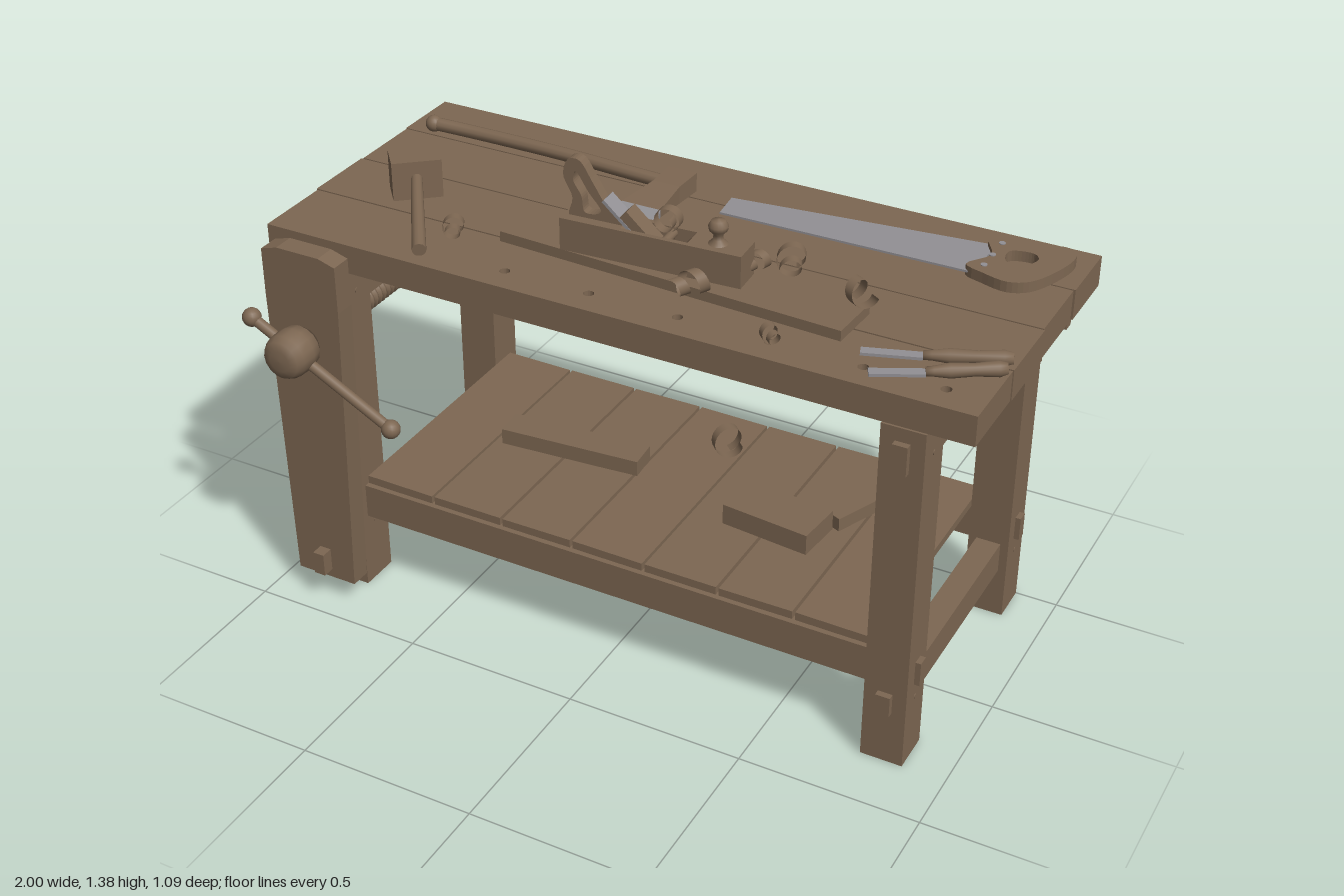
import * as THREE from 'three';

const wood = new THREE.MeshStandardMaterial({ color: 0x7d6752, side: THREE.DoubleSide });
wood.name = 'wood';
const steel = new THREE.MeshStandardMaterial({ color: 0x929094, side: THREE.DoubleSide });
steel.name = 'steel';

const V = (x, y, z) => new THREE.Vector3(x, y, z);

function add(parent, name, geo, mat = wood) {
  const m = new THREE.Mesh(geo, mat);
  m.name = name;
  parent.add(m);
  return m;
}
// Box given by its limits on each axis
function box(parent, name, x0, x1, y0, y1, z0, z1, mat = wood) {
  const m = add(parent, name, new THREE.BoxGeometry(x1 - x0, y1 - y0, z1 - z0), mat);
  m.position.set((x0 + x1) / 2, (y0 + y1) / 2, (z0 + z1) / 2);
  return m;
}
// Round bar between two points
function rod(parent, name, a, b, ra, rb = ra, mat = wood, sides = 12) {
  const m = add(parent, name, new THREE.CylinderGeometry(rb, ra, a.distanceTo(b), sides), mat);
  m.position.copy(a).add(b).multiplyScalar(0.5);
  m.quaternion.setFromUnitVectors(V(0, 1, 0), b.clone().sub(a).normalize());
  return m;
}
function ball(parent, name, p, r) {
  const m = add(parent, name, new THREE.SphereGeometry(r, 16, 12));
  m.position.copy(p);
  return m;
}
// Lathe profile [radius, distance] turned along the direction from a to b
function turned(parent, name, profile, a, dir) {
  const m = add(parent, name, new THREE.LatheGeometry(profile.map(p => new THREE.Vector2(...p)), 16));
  m.position.copy(a);
  m.quaternion.setFromUnitVectors(V(0, 1, 0), dir.clone().normalize());
  return m;
}
const poly = pts => new THREE.Shape(pts.map(p => new THREE.Vector2(...p)));
const smooth = pts => new THREE.Shape(
  new THREE.CatmullRomCurve3(pts.map(p => V(p[0], p[1], 0)), true).getPoints(40).map(p => new THREE.Vector2(p.x, p.y)));
const extrude = (shape, depth) => new THREE.ExtrudeGeometry(shape, { depth, bevelEnabled: false, curveSegments: 10 });
// Slab drawn in x and z, with its top at the given height
function slab(parent, name, shape, depth, top, mat = wood) {
  const m = add(parent, name, extrude(shape, depth).rotateX(Math.PI / 2), mat);
  m.position.y = top;
  return m;
}
// Curled ribbon of wood
function shaving(parent, x, y, z, r, turns, width, drift, yaw) {
  const pos = [], idx = [], n = 36;
  for (let i = 0; i <= n; i++) {
    const t = i / n, a = t * turns * Math.PI * 2 - 1.2, q = r * (1 - 0.35 * t);
    for (const s of [-0.5, 0.5]) pos.push(Math.cos(a) * q, Math.sin(a) * q + r, s * width + drift * (t - 0.5));
    if (i < n) idx.push(2 * i, 2 * i + 1, 2 * i + 2, 2 * i + 1, 2 * i + 3, 2 * i + 2);
  }
  const g = new THREE.BufferGeometry();
  g.setAttribute('position', new THREE.Float32BufferAttribute(pos, 3));
  g.setIndex(idx);
  g.computeVertexNormals();
  const m = add(parent, 'shaving', g);
  m.position.set(x, y, z);
  m.rotation.y = yaw;
}

function buildFrame(g) {
  // Top planks, the front one drilled for bench dogs
  const front = poly([[-0.995, 0.102], [0.998, 0.102], [0.998, 0.327], [-0.995, 0.327]]);
  for (const x of [-0.31, -0.065, 0.185, 0.435, 0.68, 0.89])
    front.holes.push(new THREE.Path().absarc(x, 0.25, 0.014, 0, Math.PI * 2, true));
  slab(g, 'frontTopPlank', front, 0.083, 1.095);
  [[-0.113, 0.098, 1], [-0.332, -0.118, 0.996], [-0.54, -0.337, 1]].forEach(([a, b, h]) =>
    box(g, 'topPlank', -h, h, 1.01, 1.096, a, b));
  box(g, 'backApron', -0.94, 0.94, 0.88, 1.01, -0.533, -0.5);

  for (const s of [-1, 1]) {
    const x = s * 0.822;
    for (const [a, b] of [[0.213, 0.33], [-0.5, -0.384]]) {
      box(g, 'leg', x - 0.058, x + 0.058, 0, 1.01, a, b);
      // Pegs locking the joints
      for (const y of [0.19, 0.27, 0.93])
        rod(g, 'jointPeg', V(x - 0.06, y, (a + b) / 2), V(x + 0.06, y, (a + b) / 2), 0.007);
    }
    // End rails with through tenons
    box(g, 'upperEndRail', x - 0.035, x + 0.035, 0.87, 0.99, -0.4, 0.23);
    box(g, 'upperTenon', x - 0.02, x + 0.02, 0.89, 0.972, -0.505, 0.348);
    box(g, 'lowerEndRail', x - 0.035, x + 0.035, 0.145, 0.235, -0.4, 0.23);
    box(g, 'lowerTenon', x - 0.02, x + 0.02, 0.16, 0.22, -0.52, 0.348);
  }
  for (const z of [0.27, -0.44]) {
    box(g, 'longRail', -0.78, 0.78, 0.22, 0.322, z - 0.035, z + 0.035);
    box(g, 'longRailTenon', -0.895, 0.895, 0.237, 0.307, z - 0.016, z + 0.016);
  }
  // Shelf planks
  for (let i = 0; i < 7; i++) {
    const x = -0.762 + i * 0.2185;
    box(g, 'shelfPlank', x, x + 0.21, 0.322, 0.346, -0.465, 0.29).rotation.z = 0.008 * (i % 3 - 1);
  }
}

function buildVise(g) {
  const x = -0.825, y = 0.835;
  const jaw = add(g, 'viseJaw', extrude(poly([[-0.92, 0.073], [-0.735, 0.073], [-0.71, 0.95],
    [-0.71, 1.085], [-0.76, 1.1], [-0.89, 1.1], [-0.94, 1.085], [-0.94, 0.95]]), 0.06));
  jaw.position.z = 0.37;
  // Threaded screw
  const thread = [[0, 0]];
  for (let i = 0; i < 18; i++) thread.push([0.028, i * 0.0195], [0.039, i * 0.0195 + 0.007], [0.039, i * 0.0195 + 0.012]);
  thread.push([0.028, 0.351], [0, 0.351]);
  turned(g, 'viseScrew', thread, V(x, y, 0.02), V(0, 0, 1));
  turned(g, 'viseHub', [[0, 0], [0.045, 0], [0.047, 0.015], [0.06, 0.02], [0.065, 0.05], [0.063, 0.09],
    [0.053, 0.11], [0.03, 0.117], [0, 0.118]], V(x, y, 0.428), V(0, 0, 1));
  const a = V(-0.955, 0.9, 0.478), b = V(-0.535, 0.678, 0.478);
  rod(g, 'viseHandle', a, b, 0.015);
  ball(g, 'handleKnob', a, 0.026);
  ball(g, 'handleKnob', b, 0.026);
  box(g, 'parallelGuide', x - 0.017, x + 0.017, 0.1, 0.168, 0.16, 0.465);
  rod(g, 'guidePin', V(x, 0.07, 0.18), V(x, 0.18, 0.18), 0.009);
}

function buildPlane(g) {
  const p = new THREE.Group();
  p.name = 'handPlane';
  p.position.set(0.03, 1.125, 0.072);
  p.rotation.y = 0.06;
  g.add(p);
  // Body with a sloped throat between two cheeks
  const core = poly([[-0.25, 0], [0.25, 0], [0.25, 0.09], [0.1, 0.09], [0.035, 0.015], [0, 0.015], [-0.085, 0.09], [-0.25, 0.09]]);
  add(p, 'planeBody', extrude(core, 0.06)).position.z = -0.03;
  for (const s of [-1, 1]) box(p, 'planeCheek', -0.25, 0.25, 0, 0.09, s * 0.037 - 0.007, s * 0.037 + 0.007);
  const blade = add(p, 'planeIron', new THREE.BoxGeometry(0.2, 0.009, 0.052), steel);
  blade.position.set(-0.062, 0.085, 0);
  const wedge = add(p, 'planeWedge', new THREE.BoxGeometry(0.15, 0.028, 0.05));
  wedge.position.set(-0.025, 0.075, 0);
  blade.rotation.z = wedge.rotation.z = -0.75;
  rod(p, 'wedgeBar', V(0.035, 0.075, -0.036), V(0.035, 0.075, 0.036), 0.012);
  // Closed rear handle
  const tote = smooth([[-0.235, 0.245], [-0.205, 0.248], [-0.165, 0.19], [-0.125, 0.13], [-0.075, 0.09],
    [-0.16, 0.08], [-0.235, 0.085], [-0.225, 0.14], [-0.25, 0.2]]);
  tote.holes.push(smooth([[-0.215, 0.215], [-0.18, 0.165], [-0.145, 0.115], [-0.19, 0.105], [-0.2, 0.15], [-0.222, 0.19]]));
  add(p, 'planeTote', extrude(tote, 0.032)).position.z = -0.016;
  turned(p, 'planeKnob', [[0.026, 0], [0.014, 0.012], [0.012, 0.025], [0.024, 0.038], [0.026, 0.05], [0.018, 0.064], [0, 0.068]],
    V(0.17, 0.09, 0), V(0, 1, 0));
}

function buildTools(g) {
  // Work board under the plane
  const board = box(g, 'workBoard', -0.4, 0.59, 1.096, 1.125, -0.01, 0.145);
  board.rotation.y = -0.05;
  buildPlane(g);

  // Axe
  const path = new THREE.CatmullRomCurve3([V(-0.925, 1.118, -0.362), V(-0.8, 1.114, -0.372), V(-0.5, 1.12, -0.36),
    V(-0.25, 1.123, -0.34), V(-0.09, 1.123, -0.332)]);
  add(g, 'axeHandle', new THREE.TubeGeometry(path, 24, 0.019, 10));
  ball(g, 'axeHandleEnd', V(-0.92, 1.118, -0.362), 0.024);
  const wedgeTo = (z0, z1, sections, name, mat) => {
    const geo = new THREE.BoxGeometry(1, 1, 1), q = geo.attributes.position;
    for (let i = 0; i < q.count; i++) {
      const [c, w, h] = sections[q.getZ(i) > 0 ? 1 : 0];
      q.setXYZ(i, c + q.getX(i) * w, 1.123 + q.getY(i) * h, q.getZ(i) > 0 ? z1 : z0);
    }
    geo.computeVertexNormals();
    add(g, name, geo, mat);
  };
  wedgeTo(-0.375, -0.285, [[-0.128, 0.085, 0.054], [-0.13, 0.08, 0.05]], 'axePoll', wood);
  wedgeTo(-0.285, -0.165, [[-0.13, 0.08, 0.05], [-0.142, 0.115, 0.022]], 'axeCheek', wood);
  wedgeTo(-0.165, -0.122, [[-0.142, 0.115, 0.022], [-0.143, 0.145, 0.003]], 'axeEdge', steel);

  // Hand saw
  slab(g, 'sawBlade', poly([[0.03, -0.355], [0.75, -0.437], [0.75, -0.275], [0.04, -0.265]]), 0.006, 1.113, steel);
  const grip = smooth([[0.73, -0.44], [0.82, -0.465], [0.94, -0.485], [0.96, -0.45], [0.945, -0.36], [0.9, -0.27],
    [0.85, -0.245], [0.78, -0.26], [0.725, -0.285], [0.765, -0.36]]);
  grip.holes.push(smooth([[0.8, -0.4], [0.86, -0.415], [0.88, -0.39], [0.85, -0.335], [0.81, -0.345]]));
  slab(g, 'sawHandle', grip, 0.03, 1.126);
  for (const z of [-0.43, -0.36, -0.3]) rod(g, 'sawBolt', V(0.768, 1.1, z), V(0.768, 1.128, z), 0.009, 0.009, steel);

  // Mallet
  const head = box(g, 'malletHead', -0.82, -0.685, 1.096, 1.206, -0.063, 0.03);
  head.rotation.y = 0.7;
  rod(g, 'malletHandle', V(-0.765, 1.165, -0.04), V(-0.545, 1.112, 0.285), 0.015, 0.019);

  // Two chisels
  for (const [a, b] of [[V(0.65, 1.1, 0.2), V(0.985, 1.118, 0.085)], [V(0.705, 1.1, 0.28), V(0.99, 1.118, 0.135)]]) {
    const mid = a.clone().lerp(b, 0.42), dir = b.clone().sub(a), len = dir.length() * 0.6;
    const blade = add(g, 'chiselBlade', new THREE.BoxGeometry(a.distanceTo(mid), 0.008, 0.028), steel);
    blade.position.copy(a).add(mid).multiplyScalar(0.5);
    blade.rotation.y = -Math.atan2(dir.z, dir.x);
    turned(g, 'chiselHandle', [[0, 0], [0.012, 0], [0.013, len * 0.1], [0.019, len * 0.3], [0.016, len * 0.6],
      [0.02, len * 0.9], [0.014, len], [0, len]], mid, dir);
  }
}

function buildShelfWood(g) {
  box(g, 'offcutLong', -0.525, -0.105, 0.346, 0.393, -0.135, -0.045).rotation.y = 0.08;
  box(g, 'offcutThick', 0.215, 0.475, 0.346, 0.407, -0.1, 0.04).rotation.y = -0.1;
  box(g, 'offcutThin', 0.48, 0.56, 0.346, 0.386, -0.38, -0.09).rotation.y = -0.4;
}

export function createModel() {
  const g = new THREE.Group();
  g.name = 'workbench';
  buildFrame(g);
  buildVise(g);
  buildTools(g);
  buildShelfWood(g);
  // x, y, z, radius, turns, width, drift, yaw
  [[-0.52, 1.097, 0.165, 0.03, 1.6, 0.025, 0.07, 0.5], [0.06, 1.215, 0.07, 0.036, 1.3, 0.03, 0.03, 0.1],
    [0.36, 1.125, -0.02, 0.04, 1.7, 0.028, 0.1, 0.4], [0.57, 1.125, 0.04, 0.038, 1.2, 0.03, 0.08, 1],
    [0.18, 1.125, 0.19, 0.035, 1.5, 0.03, 0.08, -0.5], [0.44, 1.097, 0.26, 0.025, 1.7, 0.022, 0.06, 0.8],
    [0.27, 1.125, 0, 0.028, 1.4, 0.025, 0.06, -0.3], [0.07, 0.347, -0.27, 0.05, 1.2, 0.03, 0.06, 0.8]
  ].forEach(s => shaving(g, ...s));
  return g;
}
